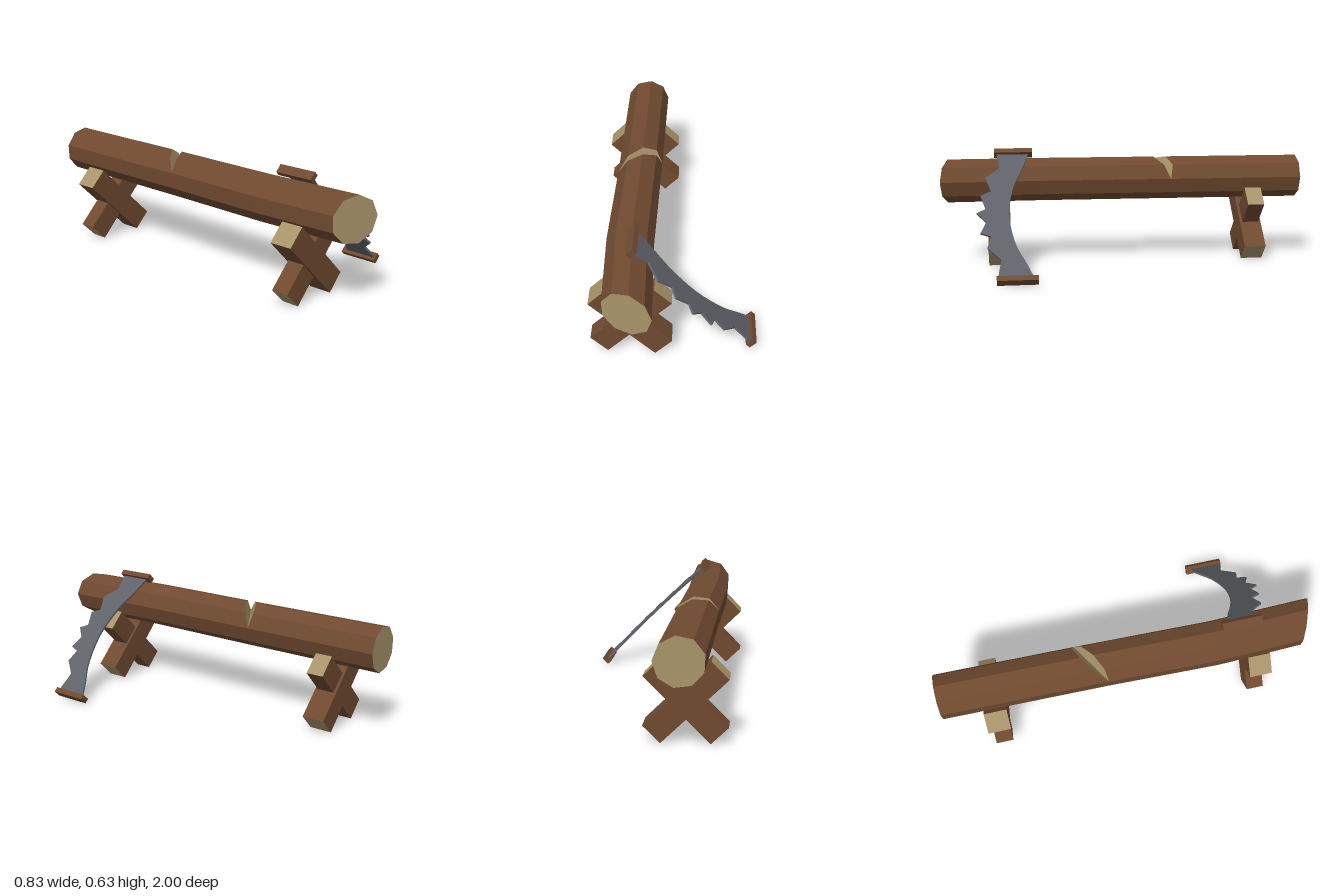
import * as THREE from 'three';

const mat = (color) => new THREE.MeshStandardMaterial({ color, flatShading: true });
const bark = mat(0x704a30);
const cutWood = mat(0xa8946a);
const steel = mat(0x5f6268);

function add(parent, name, geometry, material, x = 0, y = 0, z = 0) {
  const mesh = new THREE.Mesh(geometry, material);
  mesh.name = name;
  mesh.position.set(x, y, z);
  parent.add(mesh);
  return mesh;
}

function fromTriangles(points) {
  const g = new THREE.BufferGeometry().setFromPoints(points);
  g.computeVertexNormals();
  return g;
}

// Nine-sided log, bent slightly sideways, with a slanted V cut
const SIDES = 9, RADIUS = 0.12, LOG_Y = 0.458;

function ring(centreX, zAt, yAt = (x, y) => y) {
  return Array.from({ length: SIDES }, (_, i) => {
    const a = THREE.MathUtils.degToRad(2 + (i * 360) / SIDES);
    const x = centreX + RADIUS * Math.cos(a);
    const y = LOG_Y + RADIUS * Math.sin(a);
    return new THREE.Vector3(x, yAt(x, y), zAt(x, y));
  });
}

// Surface between two rings, ordered back to front
function strip(back, front, count = SIDES) {
  const out = [];
  for (let i = 0; i < count; i++) {
    const k = (i + 1) % SIDES;
    out.push(back[i], back[k], front[k], back[i], front[k], front[i]);
  }
  return out;
}

function cap(loop) {
  const out = [];
  for (let i = 1; i < loop.length - 1; i++) out.push(loop[0], loop[i], loop[i + 1]);
  return out;
}

function createLog() {
  const log = new THREE.Group();
  log.name = 'log';
  const cx = -0.212;
  const cutZ = (x) => -0.195 - 0.6 * (x + 0.2);
  const floorY = (x) => 0.463 - 0.14 * (x + 0.092);
  const opening = (x, y) => Math.max(0, y - floorY(x)) / 0.1;

  const backEnd = ring(-0.203, (x) => -0.993 - 0.03 * (x + 0.2));
  const backLip = ring(cx, (x, y) => cutZ(x) - 0.045 * opening(x, y));
  const cutFloor = ring(cx, cutZ, (x, y) => Math.min(y, floorY(x)));
  const frontLip = ring(cx, (x, y) => cutZ(x) + 0.025 * opening(x, y));
  const bend = ring(-0.226, () => 0.46);
  const frontEnd = ring(-0.212, (x) => 0.92 + 0.36 * (x + 0.32));

  add(log, 'bark', fromTriangles([
    ...strip(backEnd, backLip), ...strip(frontLip, bend), ...strip(bend, frontEnd),
  ]), bark);
  add(log, 'sawCut', fromTriangles([
    ...strip(backLip, cutFloor, 4), ...strip(cutFloor, frontLip, 4),
  ]), cutWood);
  add(log, 'logEnds', fromTriangles([
    ...cap(frontEnd), ...cap([...backEnd].reverse()),
  ]), cutWood);
  return log;
}

// X-shaped stand: a thick beam crossing a thinner one, with bare end grain
function createStand(name, z) {
  const stand = new THREE.Group();
  stand.name = name;
  stand.position.set(-0.213, 0.203, z);
  for (const [label, depth, angle] of [['thickBeam', 0.12, -1], ['thinBeam', 0.092, 1]]) {
    const geometry = new THREE.BoxGeometry(0.453, 0.119, depth);
    const beam = add(stand, label, geometry, [cutWood, cutWood, bark, bark, bark, bark]);
    beam.rotation.z = (angle * Math.PI) / 4;
  }
  return stand;
}

// Two-handled saw leaning on the log; local x runs along the blade
function createSaw() {
  const saw = new THREE.Group();
  saw.name = 'saw';
  saw.position.set(-0.199, 0.607, 0);
  saw.rotation.z = -0.779;
  const length = 0.82, thickness = 0.011;

  const teeth = [
    [0, 0.7], [0.108, 0.685], [0.175, 0.76], [0.265, 0.73], [0.293, 0.785], [0.379, 0.757],
    [0.407, 0.805], [0.464, 0.755], [0.535, 0.785], [0.555, 0.73], [0.626, 0.75],
    [0.7, 0.68], [0.79, 0.695], [length, 0.69],
  ];
  const spine = new THREE.SplineCurve([
    [length, 0.513], [0.73, 0.55], [0.6, 0.607], [0.42, 0.636], [0.25, 0.613], [0.1, 0.555], [0, 0.525],
  ].map(([s, z]) => new THREE.Vector2(s, z)));
  const outline = new THREE.Shape([
    ...teeth.map(([s, z]) => new THREE.Vector2(s, z)),
    ...spine.getPoints(20),
  ]);
  const blade = new THREE.ExtrudeGeometry(outline, { depth: thickness, bevelEnabled: false });
  blade.translate(0, 0, -thickness / 2).rotateX(Math.PI / 2);
  add(saw, 'blade', blade, steel);

  const handle = new THREE.BoxGeometry(0.029, 0.047, 0.208);
  add(saw, 'upperHandle', handle, bark, 0, 0, 0.607);
  add(saw, 'lowerHandle', handle, bark, length, 0, 0.6);
  return saw;
}

export function createModel() {
  const model = new THREE.Group();
  model.name = 'sawhorseWithLog';
  model.add(createLog(), createStand('frontStand', 0.69), createStand('backStand', -0.725), createSaw());
  return model;
}
